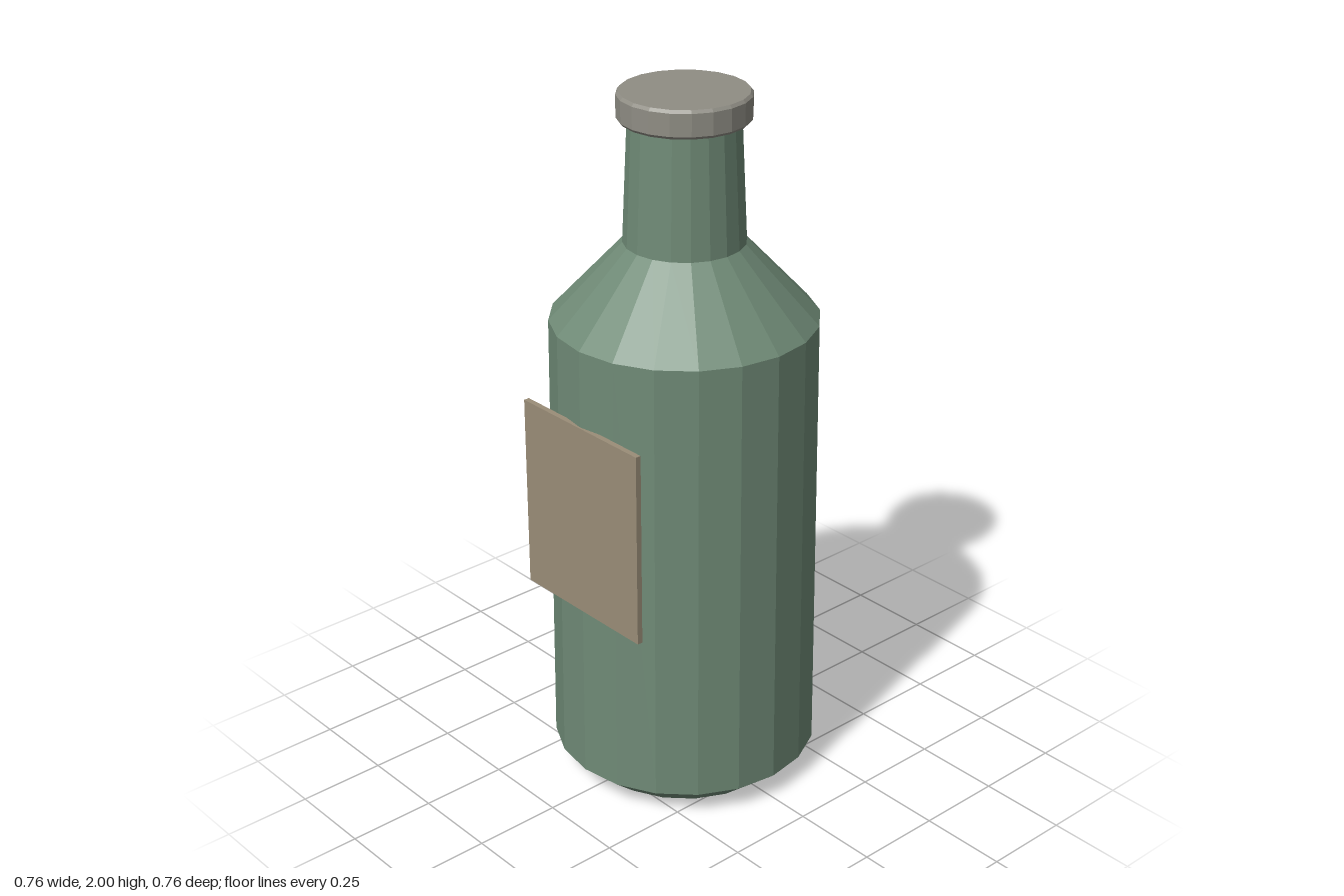
import * as THREE from 'three';

const SIDES = 20;

function material(color) {
  return new THREE.MeshStandardMaterial({ color, flatShading: true });
}

// Faceted solid of revolution from [radius, height] pairs, bottom to top
function turned(name, profile, color) {
  const points = profile.map(([r, y]) => new THREE.Vector2(r, y));
  const mesh = new THREE.Mesh(new THREE.LatheGeometry(points, SIDES), material(color));
  mesh.name = name;
  return mesh;
}

export function createModel() {
  const model = new THREE.Group();
  model.name = 'bottle';

  // Glass: chamfered base, slightly tapering body, shoulder and neck
  model.add(turned('glassBody', [
    [0, 0], [0.29, 0], [0.378, 0.075], [0.367, 1.372],
    [0.166, 1.588], [0.15, 1.94], [0, 1.94],
  ], 0x6f8a76));

  // Cap with small bevels on both rims
  model.add(turned('cap', [
    [0, 1.923], [0.172, 1.923], [0.179, 1.931], [0.179, 1.992], [0.172, 2], [0, 2],
  ], 0x8f8d84));

  // Flat label plate on the front
  const label = new THREE.Mesh(new THREE.BoxGeometry(0.464, 0.56, 0.016), material(0x9a8d78));
  label.name = 'label';
  label.position.set(0, 0.875, 0.366);
  model.add(label);

  return model;
}
